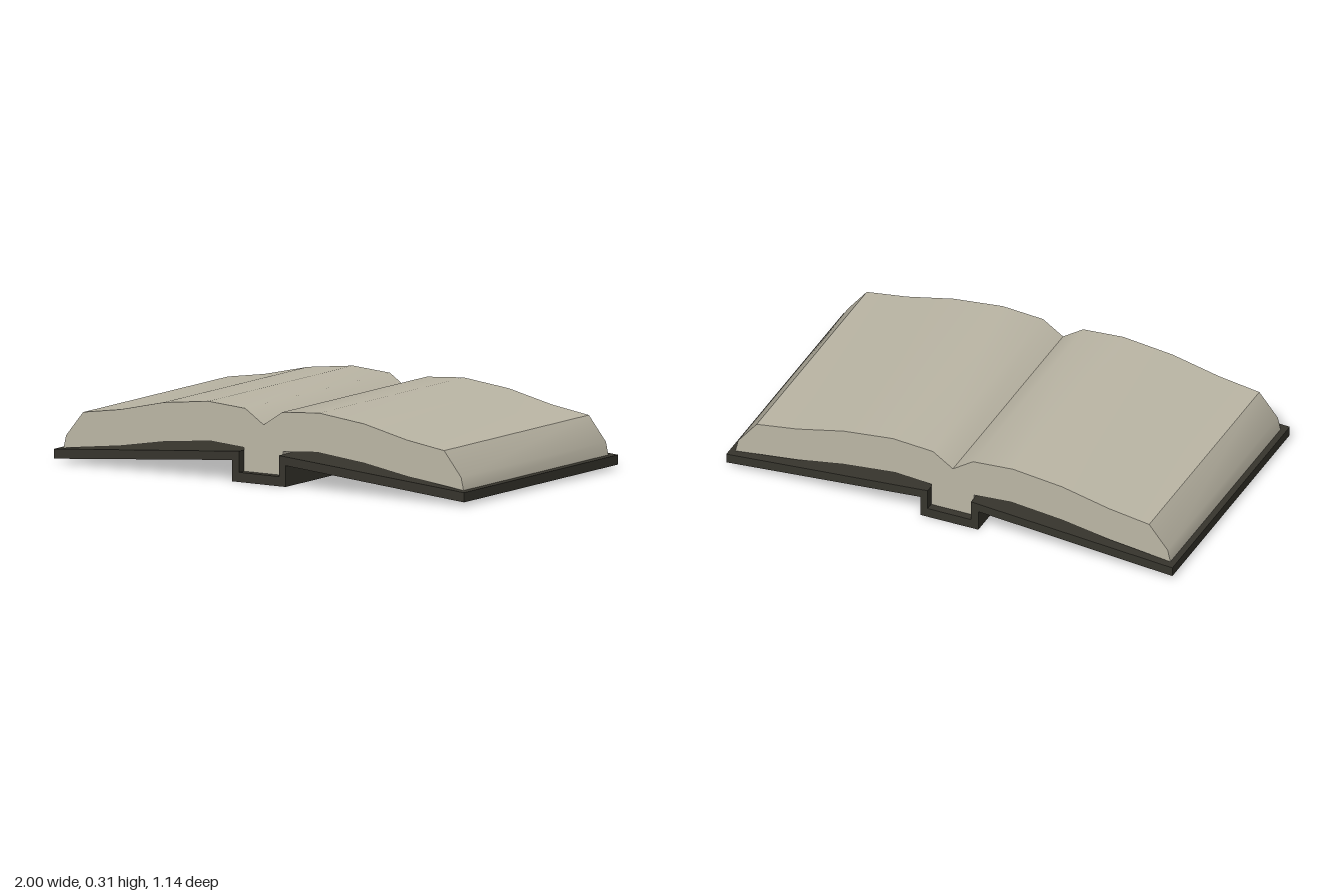
import * as THREE from 'three';
import { toCreasedNormals } from 'three/addons/utils/BufferGeometryUtils.js';

// Extrude an outline along z, centred on z = 0
function extrude(points, depth) {
  const shape = new THREE.Shape(points.map(([x, y]) => new THREE.Vector2(x, y)));
  const geo = new THREE.ExtrudeGeometry(shape, { depth, bevelEnabled: false });
  geo.translate(0, 0, -depth / 2);
  return toCreasedNormals(geo, THREE.MathUtils.degToRad(38));
}

const mirrorX = (points) => points.map(([x, y]) => [-x, y]).reverse();

export function createModel() {
  const book = new THREE.Group();
  book.name = 'openBook';

  const paper = new THREE.MeshStandardMaterial({ color: 0xbcb7a6 });
  paper.name = 'paper';
  const leather = new THREE.MeshStandardMaterial({ color: 0x37352d });
  leather.name = 'darkCover';

  const add = (name, geo, mat) => {
    const mesh = new THREE.Mesh(geo, mat);
    mesh.name = name;
    book.add(mesh);
    return mesh;
  };

  const coverDepth = 1.142;
  const pageDepth = 1.072;

  // Pages: curved open block, dipping at the gutter and reaching down into the spine
  const halfPages = [
    [0.095, 0.04], [0.095, 0.138], [0.26, 0.15], [0.49, 0.126], [0.7, 0.09], [0.975, 0.057],
    [0.963, 0.11], [0.88, 0.213], [0.7, 0.24], [0.49, 0.288], [0.27, 0.313], [0.09, 0.3],
  ];
  add('pages', extrude([...halfPages, [0, 0.24], ...mirrorX(halfPages)], pageDepth), paper);

  // Cover boards, each with its wall of the spine
  const board = [
    [0.097, 0], [0.13, 0], [0.13, 0.088], [1, 0.015], [1, 0.055], [0.097, 0.127],
  ];
  add('leftCover', extrude(board, coverDepth), leather);
  add('rightCover', extrude(mirrorX(board), coverDepth), leather);

  // Spine ends, leaving the bound page edge open underneath
  const endDepth = (coverDepth - pageDepth) / 2;
  for (const side of [1, -1]) {
    const end = add(side > 0 ? 'spineFrontEnd' : 'spineBackEnd',
      new THREE.BoxGeometry(0.194, 0.04, endDepth), leather);
    end.position.set(0, 0.02, side * (coverDepth - endDepth) / 2);
  }

  return book;
}
